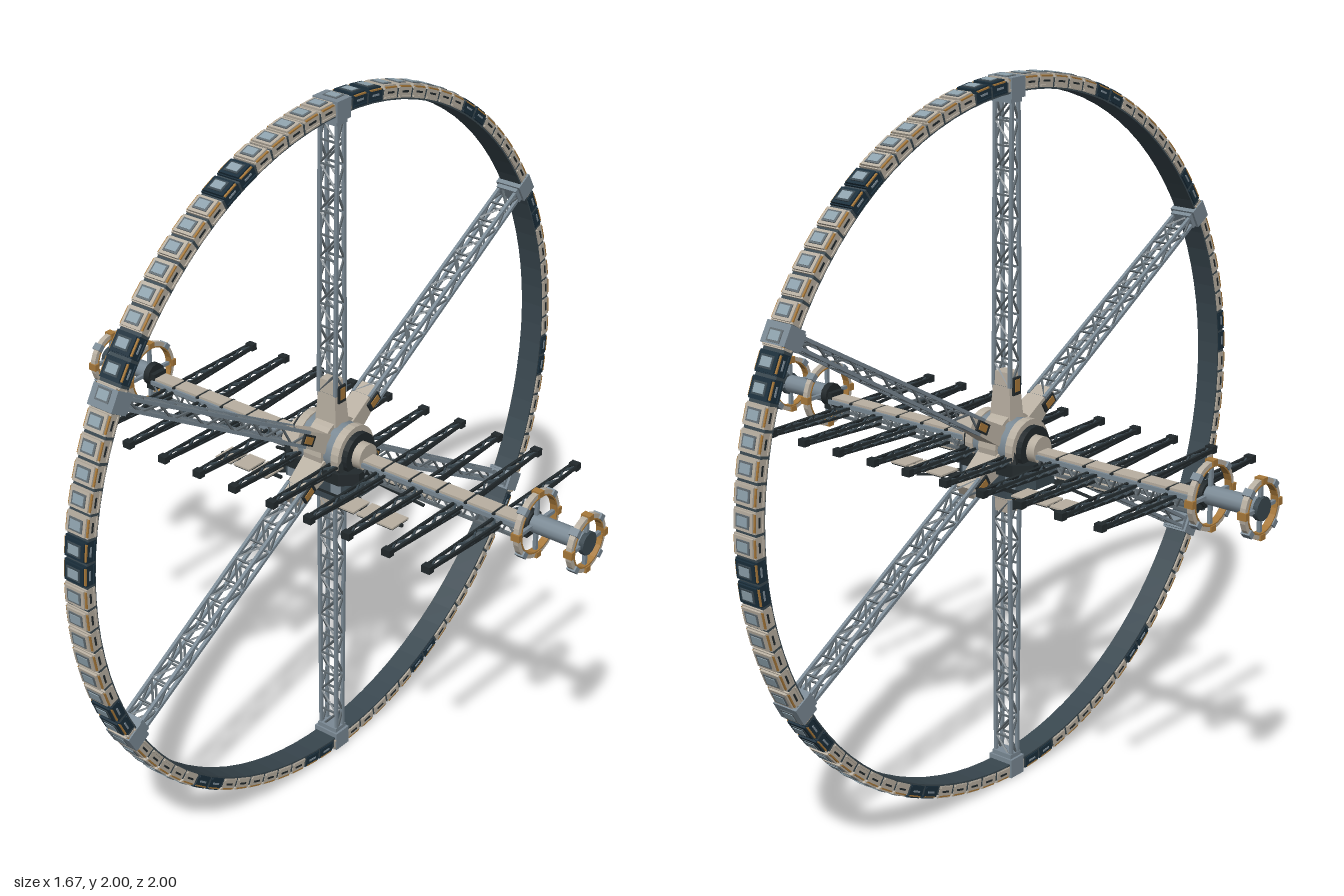
import * as THREE from 'three';
import { mergeGeometries } from 'three/addons/utils/BufferGeometryUtils.js';

const CREAM = 0xb9b0a2, NAVY = 0x1b2f3c, STEEL = 0x7b8a95, SLATE = 0x3a4850, DARK = 0x22292c, AMBER = 0xa8793a, GLASS = 0x8fa3ae, STRUT = 0x626c72;
const V = (x, y, z) => new THREE.Vector3(x, y, z);
const Z = V(0, 0, 1);

// Collects geometries by colour, then makes one mesh per colour
function part(name) {
  const lists = new Map(), group = new THREE.Group();
  group.name = name;
  const add = (color, geo) => {
    const g = geo.index ? geo.toNonIndexed() : geo;
    g.deleteAttribute('uv');
    if (!lists.has(color)) lists.set(color, []);
    lists.get(color).push(g);
    return g;
  };
  return {
    add,
    box: (c, w, h, d, x, y, z) => add(c, new THREE.BoxGeometry(w, h, d).translate(x, y, z)),
    // square bar between two points
    beam: (c, a, b, w, h = w) => {
      const dir = b.clone().sub(a), len = dir.length();
      const q = new THREE.Quaternion().setFromUnitVectors(Z, dir.normalize());
      add(c, new THREE.BoxGeometry(w, h, len).applyQuaternion(q).translate((a.x + b.x) / 2, (a.y + b.y) / 2, (a.z + b.z) / 2));
    },
    // cylinder lying along x
    drum: (c, r1, r2, len, x, sides = 24) => add(c, new THREE.CylinderGeometry(r1, r2, len, sides).rotateZ(-Math.PI / 2).translate(x, 0, 0)),
    // rectangular-section hoop around x
    hoop: (c, r1, r2, w, x, sides = 32) => {
      const p = [[r1, -w / 2], [r2, -w / 2], [r2, w / 2], [r1, w / 2], [r1, -w / 2]].map(a => new THREE.Vector2(...a));
      const g = new THREE.LatheGeometry(p, sides).rotateZ(-Math.PI / 2).translate(x, 0, 0).toNonIndexed();
      g.computeVertexNormals();
      add(c, g);
    },
    build: () => {
      for (const [color, geos] of lists) {
        const m = new THREE.Mesh(mergeGeometries(geos), new THREE.MeshStandardMaterial({ color, side: THREE.DoubleSide }));
        m.name = name + 'Surface';
        group.add(m);
      }
      return group;
    },
  };
}

// Wheel rim: core hoop plus 96 habitat modules
function habitatRing() {
  const ring = part('habitatRing'), N = 96;
  ring.hoop(SLATE, 0.955, 0.985, 0.07, 0, N);
  for (let i = 0; i < N; i++) {
    const m = part('module'), dark = i % 8 === 1 || i % 8 === 2;
    const shell = dark ? NAVY : CREAM, geos = [];
    const put = (c, ...a) => geos.push([c, m.box(c, ...a)]);
    put(shell, 0.072, 0.03, 0.056, 0, 0.974, 0);
    put(shell, 0.062, 0.008, 0.05, 0, 0.991, 0);
    put(dark ? SLATE : STRUT, 0.044, 0.004, 0.034, 0, 0.9955, 0);
    put(GLASS, 0.034, 0.003, 0.024, 0, 0.9975, 0);
    for (const s of [-1, 1]) {
      put(dark ? STEEL : DARK, 0.003, 0.005, 0.026, s * 0.0365, 0.976, 0);
      put(AMBER, 0.005, 0.004, 0.046, s * 0.034, 0.989, 0);
      put(shell, 0.004, 0.005, 0.05, s * 0.037, 0.963, 0);
    }
    for (const [c, g] of geos) ring.add(c, g.rotateX(-(i + 0.1) / N * Math.PI * 2));
  }
  return ring.build();
}

// One lattice spoke standing along +y, with its hub root and rim node
function spoke() {
  const p = part('spoke'), r0 = 0.16, r1 = 0.945, bays = 12;
  const at = (sx, sz, t) => V(sx * 0.028, r0 + (r1 - r0) * t, sz * (0.02 - 0.007 * t));
  for (const sx of [-1, 1]) for (const sz of [-1, 1]) p.beam(STEEL, at(sx, sz, 0), at(sx, sz, 1), 0.009);
  for (let i = 0; i < bays; i++) {
    const a = i / bays, b = (i + 1) / bays, f = i % 2 ? 1 : -1;
    for (const s of [-1, 1]) {
      p.beam(STRUT, at(s, f, a), at(s, -f, b), 0.005);
      p.beam(STRUT, at(f, s, a), at(-f, s, b), 0.005);
      p.beam(STRUT, at(-1, s, a), at(1, s, a), 0.005);
    }
  }
  const root = new THREE.CylinderGeometry(0.026, 0.036, 0.13, 4, 1).rotateY(Math.PI / 4).scale(1.4, 1, 1.1).translate(0, 0.135, 0).toNonIndexed();
  root.computeVertexNormals();
  p.add(CREAM, root);
  for (const s of [-1, 1]) {
    p.box(DARK, 0.006, 0.05, 0.03, s * 0.034, 0.163, 0);
    p.box(AMBER, 0.006, 0.034, 0.02, s * 0.036, 0.165, 0);
  }
  p.box(STEEL, 0.08, 0.055, 0.056, 0, 0.968, 0);
  p.box(STEEL, 0.066, 0.02, 0.045, 0, 0.938, 0);
  return p.build();
}

// Central hub with collars and the dark keel below
function hub() {
  const p = part('hub');
  p.drum(STEEL, 0.075, 0.075, 0.13, 0, 12);
  p.hoop(CREAM, 0.07, 0.085, 0.06, 0, 24);
  for (const s of [-1, 1]) {
    p.hoop(CREAM, 0.055, 0.078, 0.025, s * 0.07, 24);
    p.hoop(DARK, 0.04, 0.062, 0.03, s * 0.085, 24);
    p.drum(CREAM, 0.038, 0.038, 0.06, s * 0.095);
  }
  const oct = (a, b, k) => new THREE.Shape([[a, b - k], [a - k, b], [k - a, b], [-a, b - k], [-a, k - b], [k - a, -b], [a - k, -b], [a, k - b]].map(q => new THREE.Vector2(...q)));
  const slab = (c, a, b, k, y, h) => p.add(c, new THREE.ExtrudeGeometry(oct(a, b, k), { depth: h, bevelEnabled: false }).rotateX(-Math.PI / 2).translate(0, y, 0));
  slab(DARK, 0.13, 0.085, 0.04, -0.065, 0.035);
  slab(SLATE, 0.135, 0.075, 0.035, -0.1, 0.035);
  slab(DARK, 0.1, 0.06, 0.03, -0.12, 0.02);
  slab(SLATE, 0.06, 0.05, 0.02, -0.145, 0.025);
  for (const s of [-1, 1]) for (const t of [-1, 1]) {
    p.box(STEEL, 0.035, 0.03, 0.003, s * 0.075, -0.083, t * 0.076);
    p.beam(DARK, V(s * 0.09, -0.05, t * 0.07), V(s * 0.065, 0.03, t * 0.06), 0.014);
  }
  return p.build();
}

// Half of the horizontal boom, s = side along x
function boom(s) {
  const p = part(s > 0 ? 'leftBoom' : 'rightBoom'), x0 = 0.1, x1 = 0.64, bays = 13;
  const at = (t, y, z) => V(s * (x0 + (x1 - x0) * t), y, z);
  for (const z of [-0.026, 0.026]) p.beam(STEEL, at(0, -0.012, z), at(1, -0.012, z), 0.009, 0.012);
  for (const z of [-0.018, 0.018]) p.beam(STRUT, at(0, -0.05, z), at(1, -0.05, z), 0.008);
  for (let i = 0; i < bays; i++) for (const f of [-1, 1]) {
    const a = i / bays, m = (i + 0.5) / bays, b = (i + 1) / bays;
    p.beam(STRUT, at(a, -0.012, f * 0.026), at(m, -0.05, f * 0.018), 0.005);
    p.beam(STRUT, at(m, -0.05, f * 0.018), at(b, -0.012, f * 0.026), 0.005);
  }
  // deck plates
  for (let i = 0; i < 6; i++) {
    p.box(CREAM, 0.082, 0.008, 0.046, s * (0.15 + i * 0.09), -0.003, 0);
    p.box(DARK, 0.008, 0.014, 0.058, s * (0.195 + i * 0.09), -0.008, 0);
  }
  p.box(DARK, 0.03, 0.05, 0.05, s * 0.645, -0.012, 0);
  return p.build();
}

// Lattice cross arms reaching out to front and back
function crossArms() {
  const p = part('crossArms');
  for (const x of [-0.57, -0.445, -0.315, -0.19, -0.065, 0.065, 0.19, 0.315, 0.445, 0.57]) for (const f of [-1, 1]) {
    const top = (sx, t) => V(x + sx * (0.014 - 0.005 * t), -0.016 + 0.004 * t, f * (0.02 + 0.31 * t));
    const low = t => V(x, -0.04 + 0.018 * t, f * (0.02 + 0.31 * t));
    for (const sx of [-1, 1]) p.beam(DARK, top(sx, 0), top(sx, 1), 0.007);
    p.beam(DARK, low(0), low(1), 0.007);
    for (let i = 0; i < 7; i++) {
      const a = i / 7, b = (i + 1) / 7, e = i % 2 ? 1 : -1;
      p.beam(SLATE, top(e, a), top(-e, b), 0.005);
      for (const sx of [-1, 1]) p.beam(SLATE, top(sx, a), low(b), 0.004);
    }
    p.box(DARK, 0.026, 0.02, 0.02, x, -0.014, f * 0.33);
  }
  return p.build();
}

// Small flat panels beside the keel, with their braces
function radiators() {
  const p = part('radiatorPanels');
  for (const s of [-1, 1]) for (const f of [-1, 1]) {
    for (let i = 0; i < 3; i++) {
      const x = s * (0.15 + i * 0.065);
      p.box(CREAM, 0.056, 0.005, 0.07, x, -0.094, f * 0.095);
      p.box(DARK, 0.052, 0.004, 0.066, x, -0.098, f * 0.095);
    }
    p.beam(DARK, V(s * 0.1, -0.1, f * 0.095), V(s * 0.315, -0.098, f * 0.095), 0.008);
    p.beam(DARK, V(s * 0.1, -0.102, f * 0.05), V(s * 0.26, -0.135, f * 0.075), 0.007);
    p.beam(DARK, V(s * 0.1, -0.1, f * 0.03), V(s * 0.2, -0.1, f * 0.09), 0.008);
  }
  return p.build();
}

// Docking port at a boom end: tube, two spoked hoops
function dock(s) {
  const p = part(s > 0 ? 'leftDock' : 'rightDock');
  p.drum(STEEL, 0.026, 0.026, 0.17, s * 0.74, 12);
  p.drum(DARK, 0.034, 0.034, 0.02, s * 0.655, 12);
  p.drum(SLATE, 0.032, 0.032, 0.014, s * 0.825, 12);
  for (const [x, r] of [[0.67, 0.094], [0.82, 0.08]]) {
    p.hoop(CREAM, r - 0.014, r, 0.016, s * x, 24);
    p.hoop(AMBER, r - 0.016, r - 0.012, 0.02, s * x, 24);
    for (let i = 0; i < 4; i++) {
      const a = i * Math.PI / 2, c = Math.cos(a), d = Math.sin(a);
      p.beam(STEEL, V(s * x, c * 0.02, d * 0.02), V(s * x, c * (r - 0.01), d * (r - 0.01)), 0.01);
    }
    for (let i = 0; i < 8; i++) p.add(i % 2 ? STEEL : AMBER, new THREE.BoxGeometry(0.026, 0.016, 0.02).translate(s * x, r - 0.005, 0).rotateX(i * Math.PI / 4));
  }
  return p.build();
}

export function createModel() {
  const model = new THREE.Group();
  model.name = 'ringStation';
  const body = new THREE.Group();
  body.name = 'station';
  body.position.y = 1;
  body.add(habitatRing(), hub(), crossArms(), radiators());
  const first = spoke();
  for (let i = 0; i < 6; i++) {
    const k = first.clone();
    k.rotation.x = i * Math.PI / 3;
    body.add(k);
  }
  for (const s of [-1, 1]) body.add(boom(s), dock(s));
  model.add(body);
  return model;
}
